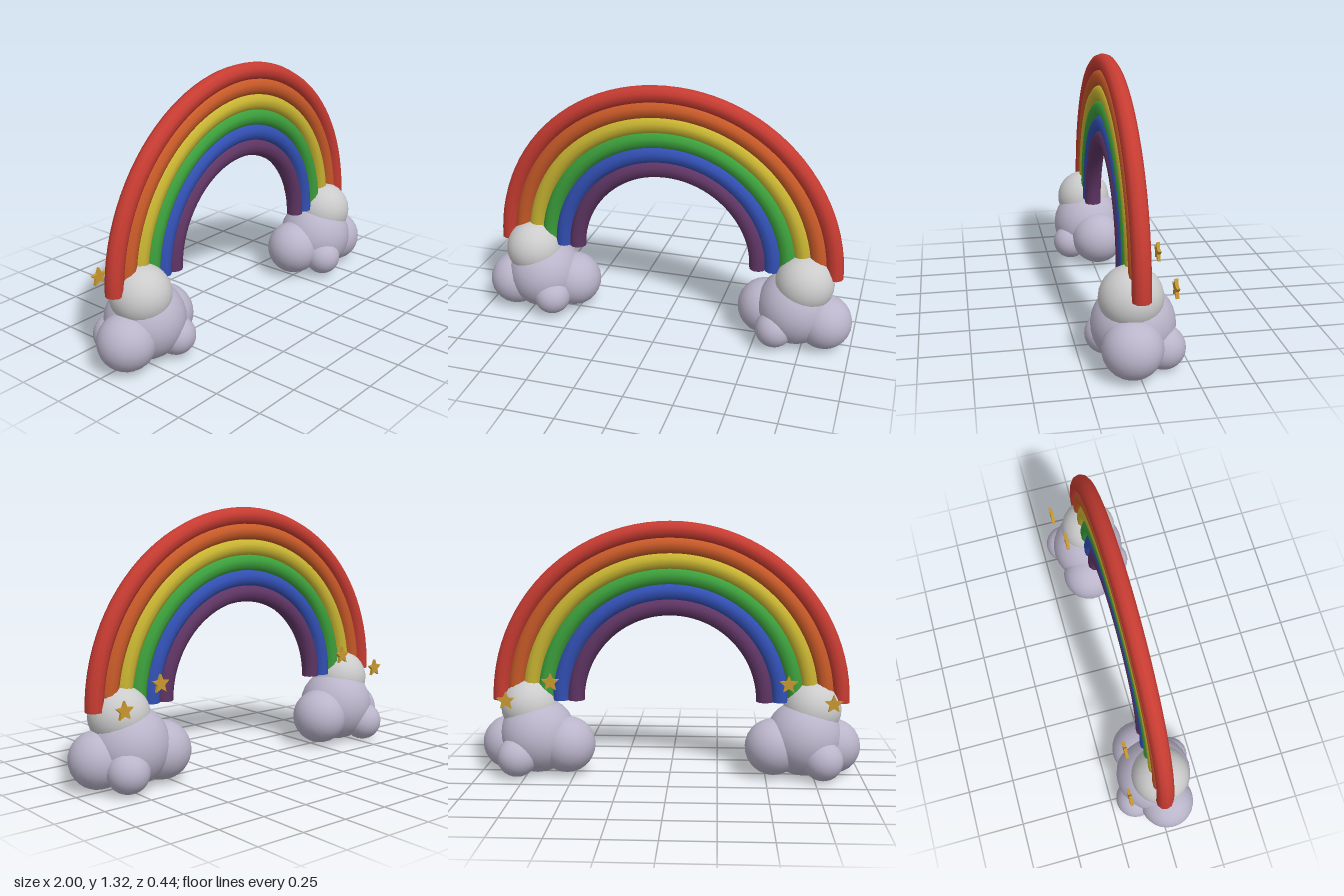
import * as THREE from 'three';

const material = (color) => new THREE.MeshStandardMaterial({ color });

// One half-ring tube with closed ends
function makeBand(name, radius, tube, color) {
  const band = new THREE.Group();
  band.name = name;
  const mat = material(color);
  const arc = new THREE.Mesh(new THREE.TorusGeometry(radius, tube, 10, 48, Math.PI), mat);
  arc.name = name + 'Arc';
  band.add(arc);
  for (const side of [-1, 1]) {
    const cap = new THREE.Mesh(new THREE.CircleGeometry(tube, 10), mat);
    cap.name = name + 'End';
    cap.rotation.x = Math.PI / 2;
    cap.position.x = side * radius;
    band.add(cap);
  }
  return band;
}

// Small upright five-pointed star plate
function makeStarGeometry(outer, inner, depth) {
  const shape = new THREE.Shape();
  for (let i = 0; i < 10; i++) {
    const r = i % 2 ? inner : outer;
    const a = Math.PI / 2 + (i * Math.PI) / 5;
    shape[i ? 'lineTo' : 'moveTo'](r * Math.cos(a), r * Math.sin(a));
  }
  shape.closePath();
  return new THREE.ExtrudeGeometry(shape, { depth, bevelEnabled: false }).translate(0, 0, -depth / 2);
}

export function createModel() {
  const model = new THREE.Group();
  model.name = 'rainbowWithClouds';

  // Rainbow: six nested bands, outermost first
  const rainbow = new THREE.Group();
  rainbow.name = 'rainbow';
  rainbow.position.set(0, 0.397, 0.004);
  const bands = [
    ['redBand', 0xc83c32], ['orangeBand', 0xc85a28], ['yellowBand', 0xc8b432],
    ['greenBand', 0x3ca03c], ['blueBand', 0x3250b4], ['purpleBand', 0x5f3564],
  ];
  bands.forEach(([name, color], i) => rainbow.add(makeBand(name, 0.89 - 0.079 * i, 0.045, color)));
  model.add(rainbow);

  // Cloud puffs: name, x (towards the outside), y, z, radius
  const puffs = [
    ['mainPuff', 0.70, 0.207, 0.004, 0.2],
    ['outerPuff', 0.857, 0.157, 0.036, 0.143],
    ['innerPuff', 0.54, 0.165, -0.03, 0.148],
    ['frontPuff', 0.613, 0.123, 0.122, 0.098],
    ['backPuff', 0.79, 0.117, -0.121, 0.104],
    ['topPuff', 0.744, 0.356, 0.023, 0.152],
  ];
  // Stars behind each cloud: x, y, z
  const stars = [[0.833, 0.423, -0.165], [0.608, 0.515, -0.13]];

  const lilac = material(0xbbb5cb);
  const pale = material(0xcccccc);
  const gold = material(0xc9982f);
  const sphere = new THREE.IcosahedronGeometry(1, 4);
  const starGeometry = makeStarGeometry(0.048, 0.022, 0.016);

  for (const side of [-1, 1]) {
    const cloud = new THREE.Group();
    cloud.name = side > 0 ? 'leftCloud' : 'rightCloud';
    for (const [name, x, y, z, r] of puffs) {
      const puff = new THREE.Mesh(sphere, name === 'topPuff' ? pale : lilac);
      puff.name = name;
      puff.position.set(side * x, y, z);
      puff.scale.setScalar(r);
      cloud.add(puff);
    }
    for (const [x, y, z] of stars) {
      const star = new THREE.Mesh(starGeometry, gold);
      star.name = 'star';
      star.position.set(side * x, y, z);
      cloud.add(star);
    }
    model.add(cloud);
  }
  return model;
}
